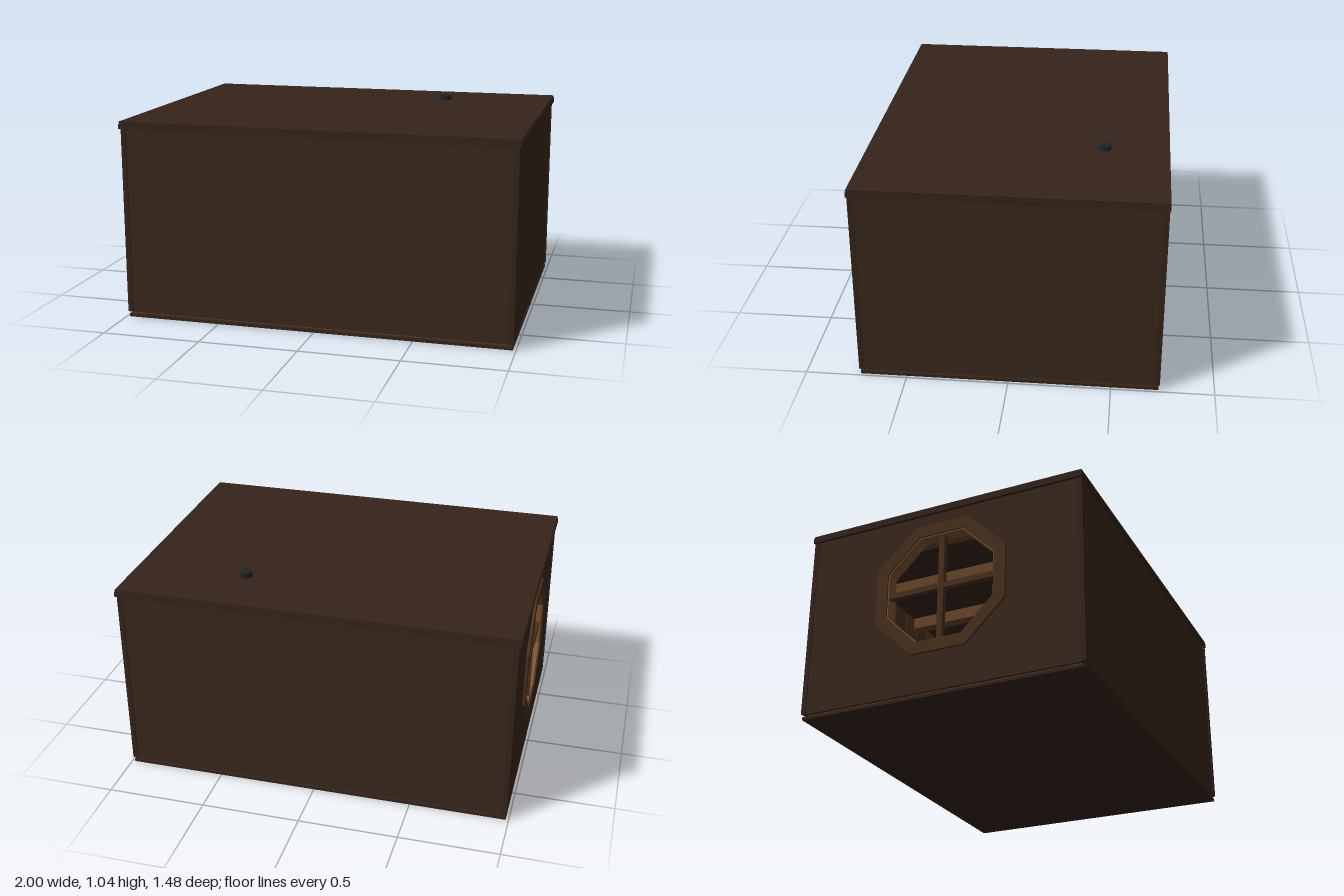
import * as THREE from 'three';

const WALL = 0x3a281c, TRIM = 0x35241a, WOOD = 0x6b4527, LIGHT = 0x7d5532, IRON = 0x222528;
const WINDOW_Y = 0.57;

export function createModel() {
  const model = new THREE.Group();
  const mats = {};
  const mat = (c) => (mats[c] ??= new THREE.MeshStandardMaterial({ color: c, flatShading: true }));

  function add(name, geometry, color, parent = model) {
    const mesh = new THREE.Mesh(geometry, mat(color));
    mesh.name = name;
    parent.add(mesh);
    return mesh;
  }
  // Box given by its minimum and maximum along each axis
  function box(name, [x0, x1], [y0, y1], [z0, z1], color, parent) {
    const mesh = add(name, new THREE.BoxGeometry(x1 - x0, y1 - y0, z1 - z0), color, parent);
    mesh.position.set((x0 + x1) / 2, (y0 + y1) / 2, (z0 + z1) / 2);
    return mesh;
  }
  function cylinder(name, r, y0, y1, x, z, color, parent, sides = 12) {
    const mesh = add(name, new THREE.CylinderGeometry(r, r, y1 - y0, sides), color, parent);
    mesh.position.set(x, (y0 + y1) / 2, z);
    return mesh;
  }
  function group(name) {
    const g = new THREE.Group();
    g.name = name;
    model.add(g);
    return g;
  }
  // Octagon with upright sides, given the distance from centre to side
  const octagon = (a, cy) => Array.from({ length: 8 }, (_, i) => {
    const t = (i + 0.5) * Math.PI / 4, r = a / Math.cos(Math.PI / 8);
    return new THREE.Vector2(r * Math.cos(t), cy + r * Math.sin(t));
  });
  // Extrude a (z, y) outline from x = xInner outwards toward -x
  function sidePanel(name, outline, hole, xInner, depth, color, parent) {
    const shape = new THREE.Shape(outline);
    shape.holes.push(new THREE.Path(hole));
    const geo = new THREE.ExtrudeGeometry(shape, { depth, bevelEnabled: false });
    geo.rotateY(-Math.PI / 2);
    add(name, geo, color, parent).position.x = xInner;
  }

  // Floor: base slab with separate boards on top
  const floor = group('floor');
  box('floorSlab', [-0.985, 0.985], [0, 0.015], [-0.73, 0.73], TRIM, floor);
  const pitch = 1.42 / 16;
  for (let i = 0; i < 16; i++) {
    const z = -0.71 + i * pitch;
    box('floorBoard', [-0.97, 0.97], [0.015, 0.028], [z + 0.002, z + pitch - 0.002], i % 2 ? WOOD : 0x633e23, floor);
  }

  // Walls, with the window opening cut into the -x side
  const walls = group('walls');
  box('frontWall', [-0.985, 0.985], [0.026, 0.995], [0.705, 0.73], WALL, walls);
  box('backWall', [-0.985, 0.985], [0.026, 0.995], [-0.73, -0.705], WALL, walls);
  box('plainSideWall', [0.96, 0.985], [0.026, 0.995], [-0.705, 0.705], WALL, walls);
  const rect = [[-0.705, 0.026], [0.705, 0.026], [0.705, 0.995], [-0.705, 0.995]]
    .map(([z, y]) => new THREE.Vector2(z, y));
  sidePanel('windowSideWall', rect, octagon(0.3, WINDOW_Y), -0.96, 0.025, WALL, walls);

  // Corner posts
  for (const sx of [-1, 1]) for (const sz of [-1, 1]) {
    const post = box('cornerPost', [-0.0125, 0.0125], [0.03, 0.99], [-0.0125, 0.0125], TRIM, walls);
    post.position.x = sx * 0.977;
    post.position.z = sz * 0.7235;
  }

  // Roof slab and the moulding under its edge
  const roof = group('roof');
  box('roofSlab', [-0.997, 0.997], [0.995, 1.015], [-0.737, 0.737], TRIM, roof);
  for (const s of [-1, 1]) {
    box('longMoulding', [-1, 1], [0.978, 1.003], [s * 0.731 - 0.009, s * 0.731 + 0.009], TRIM, roof);
    box('shortMoulding', [s * 0.99 - 0.01, s * 0.99 + 0.01], [0.978, 1.003], [-0.735, 0.735], TRIM, roof);
  }
  for (let i = 0; i < 5; i++) {
    const x = -0.8 + i * 0.4;
    box('ceilingBeam', [x - 0.03, x + 0.03], [0.93, 0.995], [-0.705, 0.705], WOOD, roof);
  }

  // Inner wall boards
  const boards = group('innerBoards');
  for (let i = 0; i < 16; i++) {
    const x = -0.96 + i * 0.12;
    for (const z of [-0.7, 0.7]) {
      box('wallBoard', [x + 0.003, x + 0.117], [0.028, 0.99], [z - 0.005, z + 0.005], i % 2 ? 0x583821 : 0x4f321e, boards);
    }
  }
  for (let i = 0; i < 12; i++) {
    const z = -0.69 + i * 0.115;
    box('wallBoard', [0.95, 0.96], [0.028, 0.99], [z + 0.003, z + 0.112], i % 2 ? 0x583821 : 0x4f321e, boards);
  }

  // Octagonal window frame with crossed bars
  const frame = group('window');
  sidePanel('windowFrame', octagon(0.345, WINDOW_Y), octagon(0.285, WINDOW_Y), -0.985, 0.013, 0x4a301c, frame);
  sidePanel('windowReveal', octagon(0.3, WINDOW_Y), octagon(0.28, WINDOW_Y), -0.925, 0.065, LIGHT, frame);
  box('uprightBar', [-0.985, -0.955], [WINDOW_Y - 0.285, WINDOW_Y + 0.285], [-0.015, 0.015], 0x4a301c, frame);
  box('crossBar', [-0.984, -0.956], [WINDOW_Y - 0.015, WINDOW_Y + 0.015], [-0.285, 0.285], 0x4a301c, frame);

  // Bed under the window, its head toward the front
  const bed = group('bed');
  box('bedFrame', [-0.93, -0.48], [0.07, 0.14], [-0.3, 0.64], WOOD, bed);
  box('headboard', [-0.94, -0.47], [0.028, 0.38], [0.64, 0.68], WOOD, bed);
  box('footboard', [-0.94, -0.47], [0.028, 0.24], [-0.34, -0.3], WOOD, bed);
  box('mattress', [-0.92, -0.49], [0.14, 0.19], [-0.3, 0.63], 0xc9c0b0, bed);
  box('blanket', [-0.935, -0.475], [0.12, 0.205], [-0.295, 0.24], 0x47694f, bed);
  box('pillow', [-0.86, -0.55], [0.19, 0.235], [0.3, 0.46], 0xd0c8bb, bed);
  box('cushion', [-0.84, -0.57], [0.19, 0.27], [0.49, 0.6], 0x7c2c28, bed);

  // Stove with its pipe rising through the roof
  const stove = group('stove');
  box('stoveBody', [0.3, 0.56], [0.08, 0.36], [-0.54, -0.3], IRON, stove);
  box('stoveTop', [0.28, 0.58], [0.36, 0.38], [-0.56, -0.28], IRON, stove);
  box('stoveDoor', [0.36, 0.5], [0.14, 0.3], [-0.3, -0.288], 0x33363a, stove);
  for (const x of [0.32, 0.54]) for (const z of [-0.52, -0.32]) {
    cylinder('stoveLeg', 0.014, 0.028, 0.08, x, z, IRON, stove, 8);
  }
  cylinder('stovePipe', 0.03, 0.38, 1.03, 0.43, -0.42, IRON, stove);
  cylinder('pipeCap', 0.034, 1.012, 1.04, 0.43, -0.42, IRON, stove);

  // Table against the front wall
  const table = group('table');
  box('tableTop', [0.1, 0.7], [0.3, 0.33], [0.3, 0.62], LIGHT, table);
  for (const x of [0.14, 0.66]) for (const z of [0.34, 0.58]) {
    box('tableLeg', [x - 0.02, x + 0.02], [0.028, 0.3], [z - 0.02, z + 0.02], WOOD, table);
  }

  return model;
}
